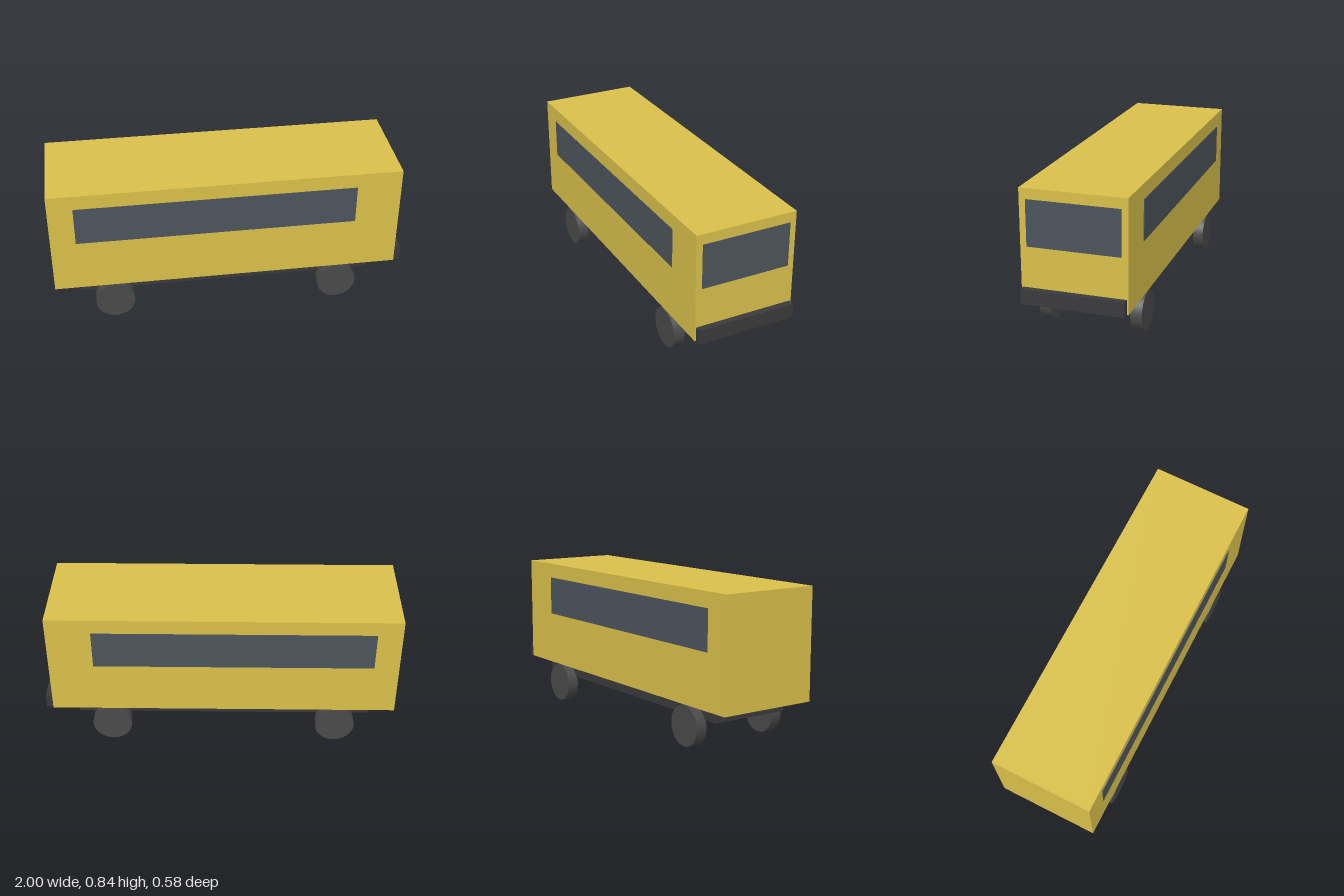
import * as THREE from 'three';

const paint = (color) => new THREE.MeshStandardMaterial({ color });

export function createModel() {
  const model = new THREE.Group();
  model.name = 'bus';
  const yellow = paint(0xd9c04a);
  const glass = paint(0x4c545c);
  const dark = paint(0x3a3a3c);
  const rubber = paint(0x4a4a4a);

  // Box given by its minimum and maximum corners
  const box = (name, material, [x0, y0, z0], [x1, y1, z1]) => {
    const mesh = new THREE.Mesh(new THREE.BoxGeometry(x1 - x0, y1 - y0, z1 - z0), material);
    mesh.position.set((x0 + x1) / 2, (y0 + y1) / 2, (z0 + z1) / 2);
    mesh.name = name;
    model.add(mesh);
  };

  // Body, underframe and bumper
  box('body', yellow, [-1, 0.228, -0.289], [0.962, 0.845, 0.289]);
  box('chassis', dark, [-0.86, 0.157, -0.23], [0.822, 0.228, 0.23]);
  box('bumper', dark, [0.962, 0.228, -0.281], [1, 0.31, 0.281]);

  // Thin glass panels standing just proud of the body
  box('windshield', glass, [0.955, 0.535, -0.253], [0.967, 0.787, 0.253]);
  box('leftWindow', glass, [-0.86, 0.535, 0.282], [0.71, 0.76, 0.292]);
  box('rightWindow', glass, [-0.86, 0.535, -0.292], [0.71, 0.76, -0.282]);

  // Four wheels on two axles
  const wheelGeometry = new THREE.CylinderGeometry(0.112, 0.112, 0.064, 32).rotateX(Math.PI / 2);
  for (const [axle, x] of [['rear', -0.665], ['front', 0.627]]) {
    for (const [side, z] of [['Left', 0.257], ['Right', -0.257]]) {
      const wheel = new THREE.Mesh(wheelGeometry, rubber);
      wheel.position.set(x, 0.112, z);
      wheel.name = `${axle}${side}Wheel`;
      model.add(wheel);
    }
  }
  return model;
}
